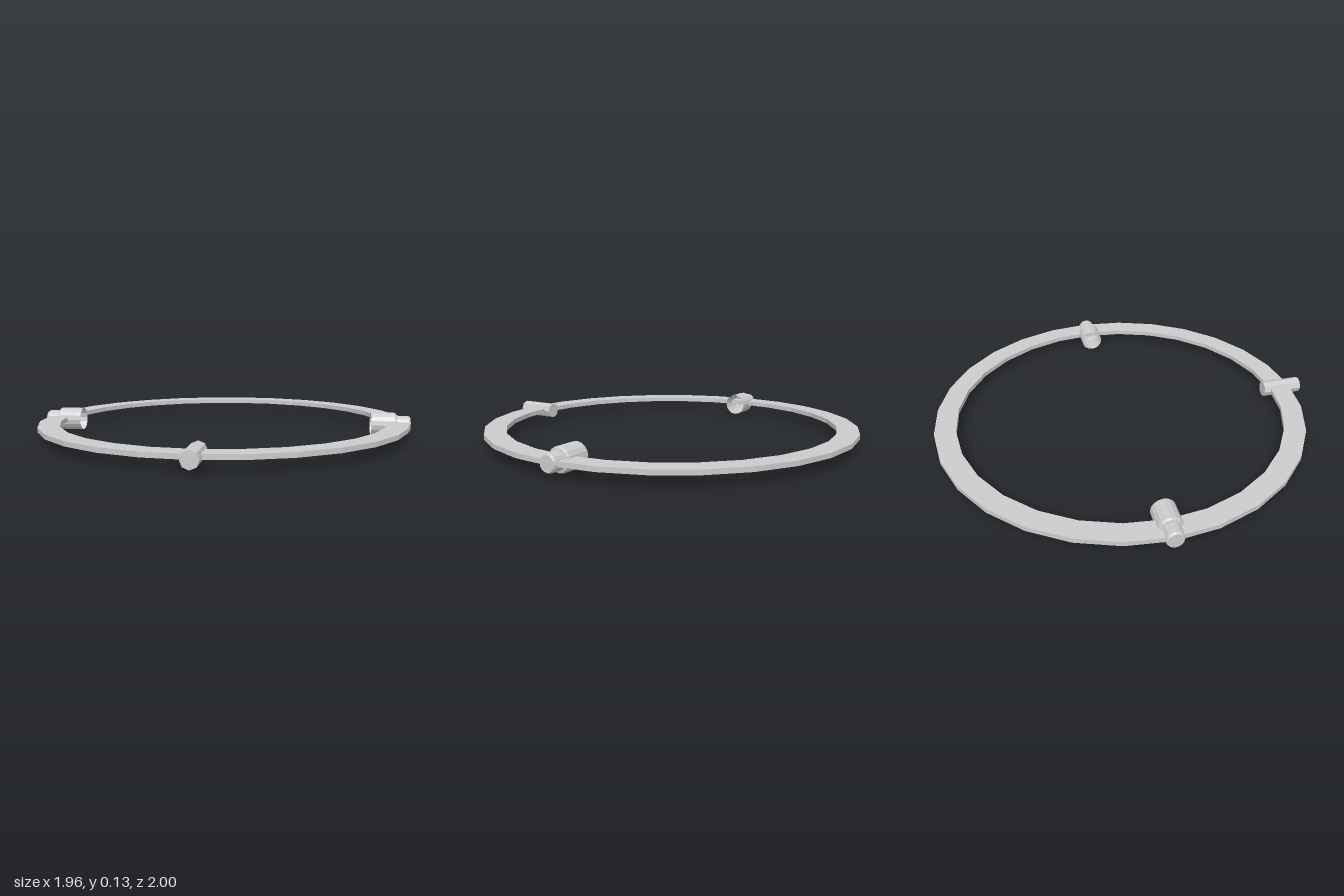
import * as THREE from 'three';

export function createModel() {
  const group = new THREE.Group();
  const material = new THREE.MeshStandardMaterial({ color: 0xcccccc, flatShading: true });
  const shellMaterial = new THREE.MeshStandardMaterial({
    color: 0xcccccc, flatShading: true, side: THREE.DoubleSide,
  });
  const profile = (points) => points.map(([r, y]) => new THREE.Vector2(r, y));

  function add(name, geometry, mat, x, y, z) {
    const mesh = new THREE.Mesh(geometry, mat);
    mesh.name = name;
    mesh.position.set(x, y, z);
    group.add(mesh);
    return mesh;
  }

  // Flat ring with a rectangular section
  const inner = 0.86, outer = 0.97, half = 0.012;
  add('ring', new THREE.LatheGeometry(profile([
    [inner, -half], [outer, -half], [outer, half], [inner, half], [inner, -half],
  ]), 28), material, 0, 0.002, -0.03);

  // Stepped sockets on both sides, open towards the middle of the ring
  const socket = new THREE.LatheGeometry(profile([
    [0.06, 0], [0.06, 0.12], [0.055, 0.128], [0.044, 0.131],
    [0.044, 0.19], [0.038, 0.2], [0, 0.2],
  ]), 16);
  for (const side of [1, -1]) {
    const mesh = add(side > 0 ? 'leftSocket' : 'rightSocket', socket, shellMaterial, side * 0.78, 0, -0.025);
    mesh.rotation.z = -side * Math.PI / 2;
  }

  // Eight-sided pin across the front of the ring
  const pin = add('frontPin', new THREE.CylinderGeometry(0.041, 0.041, 0.21, 8), material, 0.008, 0.002, 0.895);
  pin.rotation.x = Math.PI / 2;

  // The whole assembly leans very slightly
  group.rotation.z = 0.003;
  group.position.y = 0.0635;

  const model = new THREE.Group();
  model.name = 'ringAssembly';
  model.add(group);
  return model;
}
